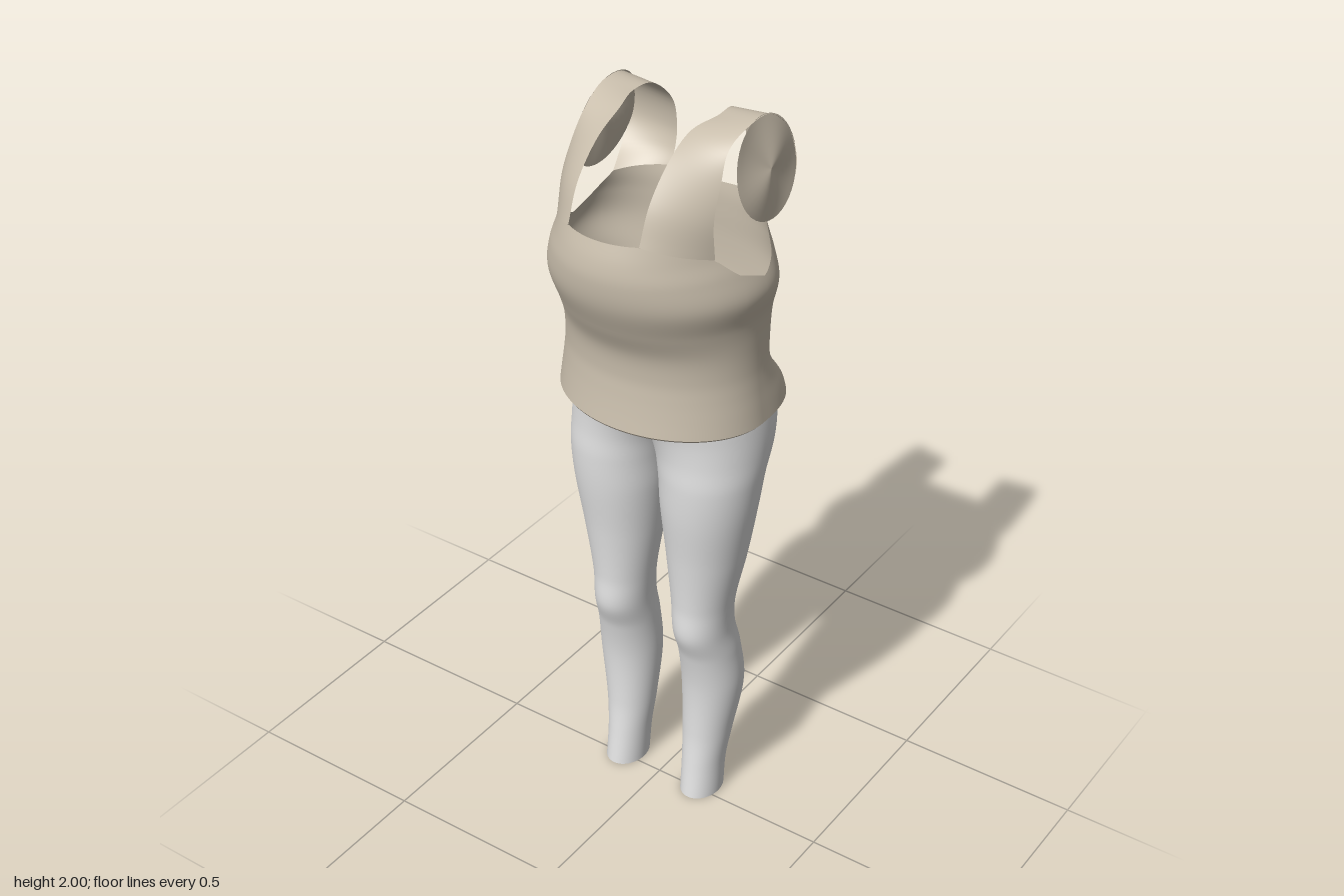
import * as THREE from 'three';

const fabric = new THREE.MeshStandardMaterial({ color: 0xcbc0ae, side: THREE.DoubleSide });
fabric.name = 'beige fabric';
const white = new THREE.MeshStandardMaterial({ color: 0xe2e2e2, side: THREE.DoubleSide });
white.name = 'pale grey fabric';

// Smooth lookup in a table whose first column is the key
function lookup(keys, k) {
  let i = 0;
  while (i < keys.length - 2 && k > keys[i + 1][0]) i++;
  const a = keys[Math.max(i - 1, 0)], b = keys[i], c = keys[i + 1], d = keys[Math.min(i + 2, keys.length - 1)];
  const h = c[0] - b[0], t = THREE.MathUtils.clamp((k - b[0]) / h, 0, 1);
  return b.slice(1).map((p, n) => {
    const q = c[n + 1], m0 = h * (q - a[n + 1]) / (c[0] - a[0]), m1 = h * (d[n + 1] - p) / (d[0] - b[0]);
    return (2 * t ** 3 - 3 * t * t + 1) * p + (t ** 3 - 2 * t * t + t) * m0
      + (3 * t * t - 2 * t ** 3) * q + (t ** 3 - t * t) * m1;
  });
}

// Skin a grid of points; mirror flips it to -x; skip leaves out unwanted quads
function skin(rows, cols, point, { closed = false, mirror = false, skip = () => false } = {}) {
  const pts = [], index = [], n = closed ? cols : cols + 1;
  for (let i = 0; i <= rows; i++) for (let j = 0; j < n; j++) pts.push(point(i / rows, j / cols));
  for (let i = 0; i < rows; i++) for (let j = 0; j < cols; j++) {
    const k = (j + 1) % n, a = i * n + j, b = i * n + k, c = b + n, d = a + n;
    if (skip([a, b, c, d].map(v => pts[v]))) continue;
    index.push(...(mirror ? [a, c, b, a, d, c] : [a, b, c, a, c, d]));
  }
  const g = new THREE.BufferGeometry();
  g.setAttribute('position', new THREE.Float32BufferAttribute(pts.flatMap(p => [mirror ? -p.x : p.x, p.y, p.z]), 3));
  g.setIndex(index);
  g.computeVertexNormals();
  return g;
}

// Torso: y, half width, front z, back z
const torsoKeys = [
  [1.235, 0.283, 0.193, -0.264], [1.28, 0.277, 0.187, -0.25], [1.33, 0.27, 0.182, -0.215],
  [1.38, 0.265, 0.18, -0.193], [1.45, 0.264, 0.19, -0.195], [1.52, 0.268, 0.222, -0.2],
  [1.6, 0.284, 0.256, -0.2], [1.67, 0.266, 0.268, -0.197], [1.72, 0.245, 0.264, -0.197], [1.78, 0.23, 0.248, -0.205],
];
function torsoPoint(a, y) {
  const [w, front, back] = lookup(torsoKeys, y), s = Math.sin(a), c = Math.cos(a), cz = -0.03;
  const hem = 1 - THREE.MathUtils.smoothstep(y, 1.25, 1.38);
  const e = c > 0 ? 1 : 2 / (2.5 + 0.5 * hem);
  const x = w * Math.sign(s) * Math.abs(s) ** e;
  let z = cz + (c > 0 ? (front - cz) * c : (back - cz) * Math.abs(c) ** e);
  if (c < 0) z += 0.03 * hem * Math.exp(-((x / 0.045) ** 2));
  return new THREE.Vector3(x, y, z);
}

// Upper edge of the torso by angle from the front: neckline, armhole, back
const edge = [[0, 1.77], [0.44, 1.77], [1.12, 1.72], [1.3, 1.67], [1.57, 1.64], [1.8, 1.67], [2.04, 1.73], [2.79, 1.75], [3.15, 1.74]];
function topY(a) {
  a = Math.abs(a);
  const i = Math.max(1, edge.findIndex(e => e[0] >= a)), p = edge[i - 1], q = edge[i];
  return p[1] + (q[1] - p[1]) * (a - p[0]) / (q[0] - p[0]);
}

// Legs: y, inner x, outer x, front z, back z
const legKeys = [
  [0, 0.07, 0.178, 0.045, -0.095], [0.1, 0.066, 0.18, 0.032, -0.102], [0.2, 0.058, 0.192, 0.023, -0.12],
  [0.36, 0.049, 0.214, 0.026, -0.145], [0.48, 0.05, 0.208, 0.046, -0.133], [0.56, 0.05, 0.2, 0.072, -0.116],
  [0.65, 0.043, 0.205, 0.071, -0.11], [0.8, 0.024, 0.233, 0.082, -0.135], [0.95, 0.009, 0.258, 0.1, -0.153],
  [1.05, 0.001, 0.268, 0.106, -0.175], [1.12, -0.02, 0.271, 0.105, -0.215], [1.18, -0.055, 0.27, 0.11, -0.238],
  [1.235, -0.11, 0.265, 0.122, -0.243], [1.29, -0.2, 0.255, 0.13, -0.215], [1.33, -0.24, 0.25, 0.13, -0.188],
];
function legPoint(u, v) {
  const y = 1.33 * u, a = v * Math.PI * 2, [inner, outer, front, back] = lookup(legKeys, y);
  const x = (inner + outer) / 2 + (outer - inner) / 2 * Math.sin(a);
  return new THREE.Vector3(Math.max(0, x), y, (front + back) / 2 + (front - back) / 2 * Math.cos(a));
}

// Shoulder strap edges, running from the chest over the shoulder to the back
const vec = p => new THREE.Vector3(...p);
const strapInner = new THREE.CatmullRomCurve3([
  torsoPoint(0.44, 1.77), ...[[0.1, 1.86, 0.185], [0.1, 1.94, 0.105], [0.1, 1.98, 0.02], [0.118, 1.99, -0.06],
    [0.112, 1.985, -0.13], [0.1, 1.92, -0.198], [0.1, 1.84, -0.216], [0.1, 1.79, -0.208]].map(vec), torsoPoint(2.79, 1.75)]);
const strapOuter = new THREE.CatmullRomCurve3([
  torsoPoint(1.12, 1.72), ...[[0.214, 1.81, 0.095], [0.208, 1.89, 0.06], [0.2, 1.955, 0.018], [0.207, 1.99, -0.06],
    [0.21, 1.988, -0.14], [0.22, 1.93, -0.205], [0.236, 1.84, -0.22], [0.238, 1.78, -0.185]].map(vec), torsoPoint(2.04, 1.73)]);
function strapPoint(t, s) {
  const at = k => strapInner.getPoint(k).lerp(strapOuter.getPoint(k), s);
  const onTorso = (a0, a1) => { const a = a0 + (a1 - a0) * s; return torsoPoint(a, topY(a)); };
  // Ends follow the curved torso edge and ease away from it
  return at(t)
    .addScaledVector(onTorso(0.44, 1.12).sub(at(0)), (1 - t) ** 3)
    .addScaledVector(onTorso(2.79, 2.04).sub(at(1)), t ** 3);
}

// Slightly domed disc closing each shoulder, leaning in towards the top
function capPoint(t, v) {
  const r = 0.123 * (1 - t), a = v * Math.PI * 2, y = 1.873 + r * Math.sin(a);
  const ripple = 0.006 * Math.sin(2 * a) * t * (1 - t) * 4;
  return new THREE.Vector3(0.25 - 0.18 * (y - 1.75) + 0.012 * Math.sin(Math.PI * t / 2) + ripple, y, -0.102 - r * Math.cos(a));
}

export function createModel() {
  const model = new THREE.Group();
  const add = (name, geometry, material) => {
    const mesh = new THREE.Mesh(geometry, material);
    mesh.name = name;
    model.add(mesh);
  };

  // Sleeveless top, hem slightly higher at the back
  const hemY = a => 1.235 + 0.012 * Math.max(0, -Math.cos(a));
  add('topBody', skin(48, 120, (u, v) => {
    const a = (v * 2 - 1) * Math.PI;
    return torsoPoint(a, THREE.MathUtils.lerp(hemY(a), topY(a), u));
  }, { closed: true }), fabric);

  // Turned-in hem
  add('hem', skin(3, 120, (u, v) => {
    const a = (v * 2 - 1) * Math.PI, p = torsoPoint(a, hemY(a)), k = 1 - 0.05 * (1 - u);
    return p.set(p.x * k, p.y - 0.006 * Math.sin(u * Math.PI), p.z * k);
  }, { closed: true }), fabric);

  for (const [side, mirror] of [['left', false], ['right', true]]) {
    add(side + 'ShoulderStrap', skin(56, 14, strapPoint, { mirror }), fabric);
    add(side + 'ShoulderCap', skin(8, 40, capPoint, { closed: true, mirror }), fabric);
    // Leggings half, open at the waist, ankle and centre line
    add(side + 'Legging', skin(110, 64, legPoint, {
      closed: true, mirror, skip: q => q.every(p => p.x < 1e-5),
    }), white);
  }

  return model;
}
